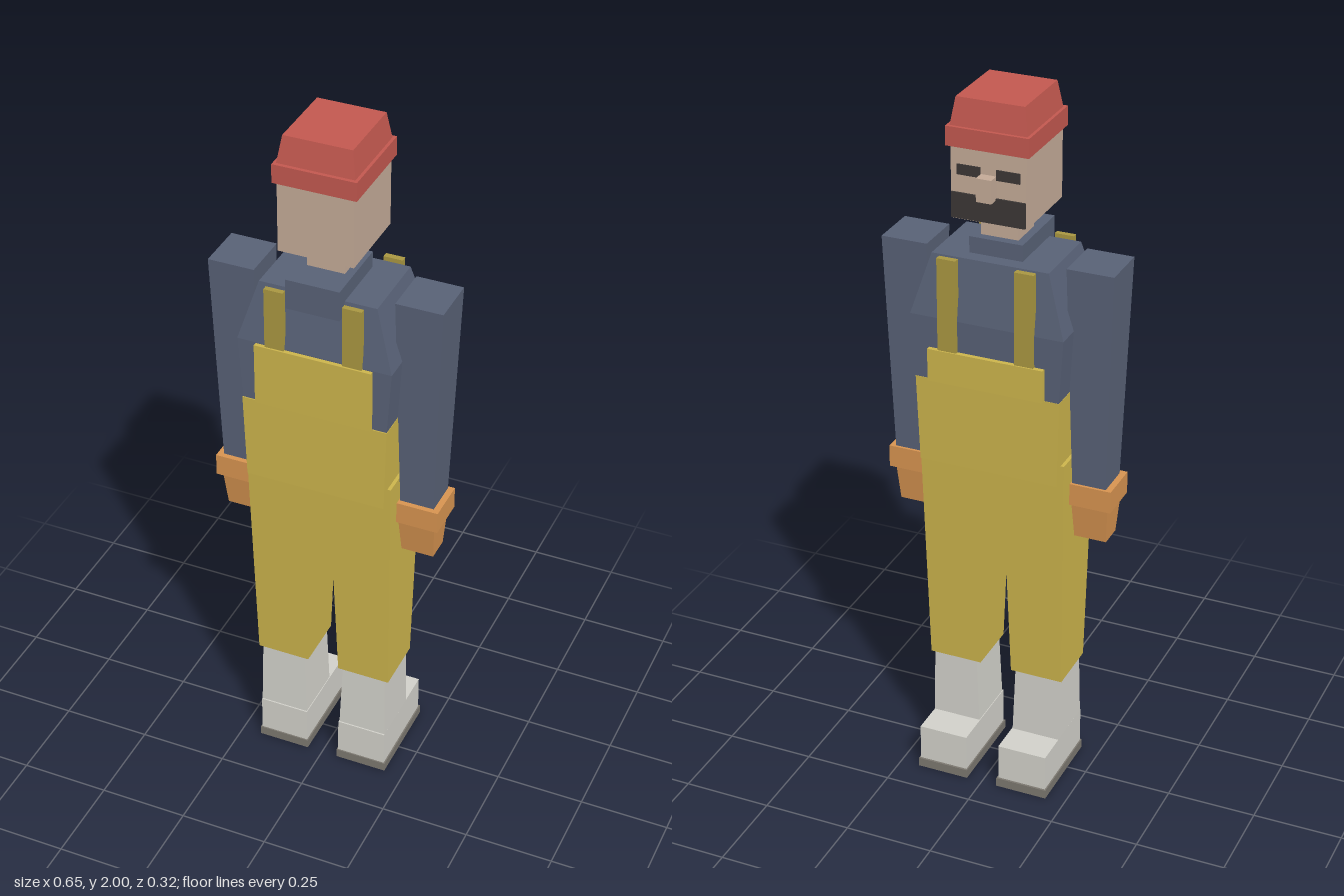
import * as THREE from 'three';

const mat = (color) => new THREE.MeshStandardMaterial({ color, flatShading: true });

// Loft through rectangular sections [y, x0, x1, z0, z1], listed bottom to top.
function loft(sections) {
  const corners = sections.map(([y, x0, x1, z0, z1]) =>
    [[x0, y, z1], [x1, y, z1], [x1, y, z0], [x0, y, z0]]);
  const pos = [];
  const quad = (a, b, c, d) => pos.push(...a, ...b, ...c, ...a, ...c, ...d);
  for (let i = 0; i < corners.length - 1; i++) {
    const lo = corners[i], hi = corners[i + 1];
    for (let k = 0; k < 4; k++) {
      const n = (k + 1) % 4;
      quad(lo[k], lo[n], hi[n], hi[k]);
    }
  }
  const b = corners[0], t = corners[corners.length - 1];
  quad(b[3], b[2], b[1], b[0]);
  quad(t[0], t[1], t[2], t[3]);
  const g = new THREE.BufferGeometry();
  g.setAttribute('position', new THREE.Float32BufferAttribute(pos, 3));
  g.computeVertexNormals();
  return g;
}

export function createModel() {
  const model = new THREE.Group();
  model.name = 'worker';

  const skin = mat(0xc3aa97), red = mat(0xc2584f), blue = mat(0x586176);
  const yellow = mat(0xccb44c), strapYellow = mat(0xa99741), orange = mat(0xd69350);
  const white = mat(0xd1d0c9), soleGrey = mat(0x7b776f), dark = mat(0x3b3735);

  const part = (name, material, ...sections) => {
    const mesh = new THREE.Mesh(loft(sections), material);
    mesh.name = name;
    model.add(mesh);
  };
  const box = (name, material, x0, x1, y0, y1, z0, z1) =>
    part(name, material, [y0, x0, x1, z0, z1], [y1, x0, x1, z0, z1]);
  // Same part on both sides, given for the +x side.
  const pair = (name, material, ...sections) => {
    part('left' + name, material, ...sections);
    part('right' + name, material, ...sections.map(([y, a, b, c, d]) => [y, -b, -a, c, d]));
  };
  const boxPair = (name, material, x0, x1, y0, y1, z0, z1) =>
    pair(name, material, [y0, x0, x1, z0, z1], [y1, x0, x1, z0, z1]);

  // Cap
  part('capCrown', red, [1.925, -0.105, 0.105, -0.1, 0.13], [2, -0.093, 0.093, -0.088, 0.117]);
  box('capBand', red, -0.113, 0.113, 1.875, 1.927, -0.109, 0.14);

  // Head and face (the face looks toward -z)
  box('head', skin, -0.103, 0.103, 1.68, 1.88, -0.099, 0.132);
  box('nose', skin, -0.021, 0.021, 1.747, 1.81, -0.13, -0.095);
  box('beard', dark, -0.101, 0.101, 1.683, 1.752, -0.104, -0.095);
  boxPair('Brow', dark, 0.022, 0.086, 1.8, 1.828, -0.102, -0.095);
  box('neck', skin, -0.052, 0.052, 1.58, 1.685, -0.031, 0.07);

  // Collar with rear flap
  box('collar', blue, -0.074, 0.074, 1.56, 1.615, -0.055, 0.154);
  box('collarFlap', blue, -0.074, 0.074, 1.53, 1.56, 0.11, 0.154);

  // Torso and hips
  part('torso', blue,
    [1.22, -0.202, 0.202, -0.115, 0.147],
    [1.4, -0.214, 0.214, -0.119, 0.148],
    [1.57, -0.162, 0.162, -0.094, 0.121]);
  part('hips', yellow,
    [0.972, -0.196, 0.196, -0.11, 0.146],
    [1.22, -0.203, 0.203, -0.116, 0.15]);

  // Bib panels and braces
  box('frontBib', yellow, -0.162, 0.162, 1.22, 1.312, -0.13, -0.1);
  box('backBib', yellow, -0.162, 0.162, 1.22, 1.398, 0.13, 0.16);
  boxPair('FrontStrap', strapYellow, 0.081, 0.134, 1.3, 1.572, -0.126, -0.109);
  boxPair('BackStrap', strapYellow, 0.081, 0.134, 1.39, 1.572, 0.14, 0.155);

  // Arms and gloves
  pair('Arm', blue, [0.945, 0.21, 0.305, -0.035, 0.065], [1.572, 0.194, 0.323, -0.055, 0.084]);
  boxPair('GloveCuff', orange, 0.205, 0.322, 0.885, 0.948, -0.043, 0.08);
  pair('Hand', orange, [0.778, 0.211, 0.302, -0.017, 0.052], [0.887, 0.206, 0.309, -0.03, 0.068]);

  // Legs
  pair('Leg', yellow, [0.328, 0.046, 0.197, -0.061, 0.098], [1.022, 0.028, 0.207, -0.087, 0.125]);

  // Boots
  pair('BootShaft', white, [0.13, 0.051, 0.19, -0.06, 0.1], [0.335, 0.059, 0.186, -0.059, 0.095]);
  boxPair('BootFoot', white, 0.049, 0.19, 0.024, 0.132, -0.155, 0.104);
  boxPair('Sole', soleGrey, 0.045, 0.194, 0, 0.026, -0.161, 0.108);

  return model;
}
